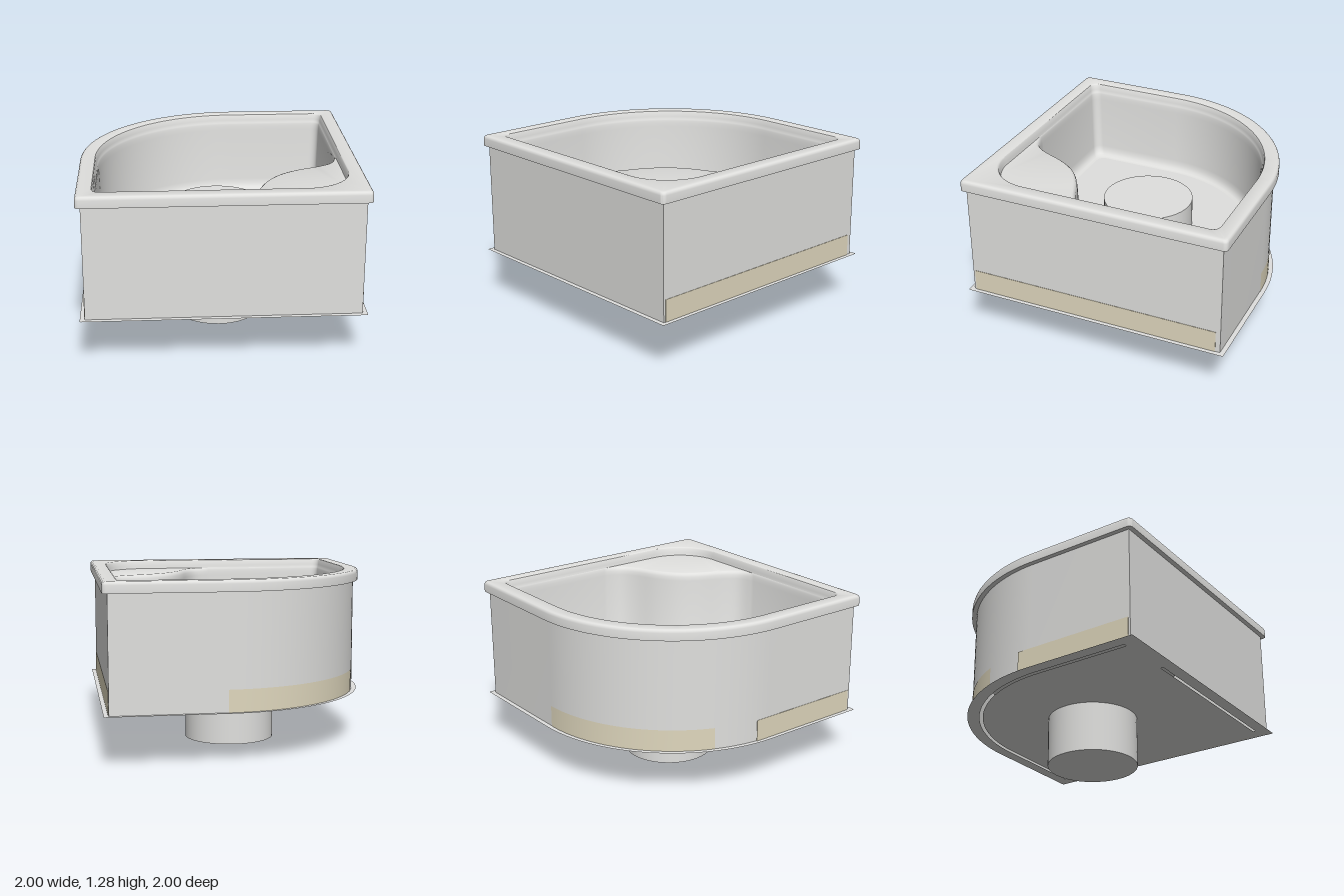
import * as THREE from 'three';
import { toCreasedNormals } from 'three/addons/utils/BufferGeometryUtils.js';

const BOTTOM = 0.37, RIM_LOW = 1.2, RIM_TOP = 1.28, SEAT = 1.215, FLOOR = 0.66;
const V = (x, z) => new THREE.Vector2(x, z);

// Points (x, z) on an arc, both ends included
function arc(cx, cz, r, t0, t1, n) {
  return Array.from({ length: n + 1 }, (_, i) => {
    const t = t0 + (t1 - t0) * i / n;
    return V(cx + r * Math.cos(t), cz + r * Math.sin(t));
  });
}

// The large rounded back corner, inset by d
const bigArc = (d) => arc(0.15, 0.15, 1.15 - d, -Math.PI / 2, -Math.PI, 40);

// Wavy front edge of the seat: ends on the wall inset by d, middle moved inwards by s
function seatEdge(d, s) {
  const half = [[0.05 - s, 1 - d], [0.17 - s, 0.85 - s], [0.25 - s, 0.75 - s], [0.33 - s, 0.57 - s]];
  const pts = [...half, [0.43 - s, 0.43 - s], ...half.slice().reverse().map(([a, b]) => [b, a])];
  return new THREE.SplineCurve(pts.map(([x, z]) => V(x, z))).getPoints(32);
}

// Closed tray outline inset by d, with the given front left section (33 points)
function outline(d, r, frontLeft) {
  const e = 1 - d - r, P = Math.PI;
  return [
    ...arc(e, -e, r, 0, -P / 2, 8),
    ...bigArc(d),
    ...arc(-e, e, r, -P, -1.5 * P, 8),
    ...frontLeft,
  ];
}

// Outline with a plain rounded front left corner
function rounded(d, r, rSeat = r) {
  const q = 1 - d - rSeat;
  return outline(d, r, arc(q, q, rSeat, -1.5 * Math.PI, -2 * Math.PI, 32));
}

// Skin between loops of [points, y]
function loft(loops, closed = true) {
  const n = loops[0][0].length, pos = [], idx = [];
  for (const [pts, y] of loops) for (const p of pts) pos.push(p.x, y, p.y);
  for (let k = 0; k < loops.length - 1; k++) {
    for (let i = 0; i < (closed ? n : n - 1); i++) {
      const a = k * n + i, b = k * n + (i + 1) % n;
      idx.push(a, b, b + n, a, b + n, a + n);
    }
  }
  const g = new THREE.BufferGeometry();
  g.setAttribute('position', new THREE.Float32BufferAttribute(pos, 3));
  g.setIndex(idx);
  return toCreasedNormals(g, 0.65);
}

// Flat horizontal sheet with holes, facing up
function sheet(points, holes, y) {
  const flip = (pts) => pts.map((p) => V(p.x, -p.y));
  const shape = new THREE.Shape(flip(points));
  for (const h of holes) shape.holes.push(new THREE.Path(flip(h)));
  return new THREE.ShapeGeometry(shape).rotateX(-Math.PI / 2).translate(0, y, 0);
}

export function createModel() {
  const group = new THREE.Group();
  const grey = new THREE.MeshStandardMaterial({ color: 0xe0e0de, side: THREE.DoubleSide });
  grey.name = 'light grey';
  const sand = new THREE.MeshStandardMaterial({ color: 0xe0d8be, side: THREE.DoubleSide });
  sand.name = 'pale sand';

  const add = (name, geometry, material, x = 0, y = 0, z = 0) => {
    const mesh = new THREE.Mesh(geometry, material);
    mesh.name = name;
    mesh.position.set(x, y, z);
    group.add(mesh);
  };

  // Basin wall below the seat: [inset, height, seat edge shift]
  const basin = [
    [0.12, SEAT, 0],
    [0.122, SEAT - 0.004, 0.008],
    [0.124, SEAT - 0.014, 0.016],
    [0.126, SEAT - 0.03, 0.021],
    [0.128, SEAT - 0.06, 0.024],
    [0.14, FLOOR + 0.08, 0.035],
    [0.146, FLOOR + 0.045, 0.042],
    [0.158, FLOOR + 0.018, 0.054],
    [0.175, FLOOR + 0.004, 0.07],
    [0.2, FLOOR, 0.09],
  ].map(([d, y, s]) => [outline(d, 0.06, seatEdge(d, s)), y]);

  // Rim, seat and basin walls in one skin
  add('tray', loft([
    [rounded(0.035, 0.005), RIM_LOW],
    [rounded(0, 0.03), RIM_LOW],
    [rounded(0, 0.03), RIM_TOP - 0.025],
    [rounded(0.003, 0.03), RIM_TOP - 0.012],
    [rounded(0.01, 0.03), RIM_TOP - 0.004],
    [rounded(0.022, 0.03), RIM_TOP],
    [rounded(0.03, 0.03), RIM_TOP],
    [rounded(0.1, 0.06, 0.34), RIM_TOP],
    [rounded(0.107, 0.06, 0.34), RIM_TOP - 0.003],
    [rounded(0.112, 0.06, 0.34), RIM_TOP - 0.012],
    [rounded(0.116, 0.06, 0.34), SEAT + 0.02],
    [rounded(0.12, 0.06, 0.34), SEAT],
    ...basin,
  ]), grey);

  // Basin floor with the drain recess
  const dx = 0.64, dz = -0.64;
  const floorEdge = basin[basin.length - 1][0];
  add('basinFloor', sheet(floorEdge, [arc(dx, dz, 0.085, 0, Math.PI * 2, 32).slice(0, -1)], FLOOR), grey);
  add('drainRecess', new THREE.LatheGeometry(
    [V(0.064, -0.02), V(0.067, -0.013), V(0.071, -0.006), V(0.077, -0.001), V(0.085, 0)], 32), grey, dx, FLOOR, dz);
  add('drain', new THREE.CircleGeometry(0.065, 32).rotateX(-Math.PI / 2), sand, dx, FLOOR - 0.019, dz);

  // Skirt panels under the rim
  const skirt = rounded(0.035, 0);
  add('skirt', loft([[skirt, BOTTOM], [skirt, RIM_LOW]]), grey);

  // Base strips on the straight sides and the curve
  const stripHeight = 0.16, stripY = BOTTOM + stripHeight / 2;
  add('leftStrip', new THREE.BoxGeometry(0.003, stripHeight, 1.88), sand, 0.9672, stripY, 0.01);
  add('rightStrip', new THREE.BoxGeometry(0.003, stripHeight, 0.91), sand, -0.9672, stripY, 0.495);
  const curve = bigArc(0.033).slice(0, 31);
  add('curvedStrip', loft([[curve, BOTTOM], [curve, BOTTOM + stripHeight]], false), sand);

  // Thin base sheet with slots along the back, curve, right and front
  const longSlot = [
    V(0.9, -0.91), ...bigArc(0.09), V(-0.91, 0.88),
    V(-0.885, 0.88), ...bigArc(0.115).reverse(), V(0.9, -0.885),
  ];
  const frontSlot = [V(-0.47, 0.89), V(0.88, 0.89), V(0.88, 0.91), V(-0.47, 0.91)];
  add('baseSheet', sheet(rounded(0, 0.01), [longSlot, frontSlot], BOTTOM), grey);

  // Central pedestal, rising through the floor
  const top = 0.87;
  add('pedestal', new THREE.CylinderGeometry(0.333, 0.333, top, 40), grey, 0, top / 2, 0);

  return group;
}
